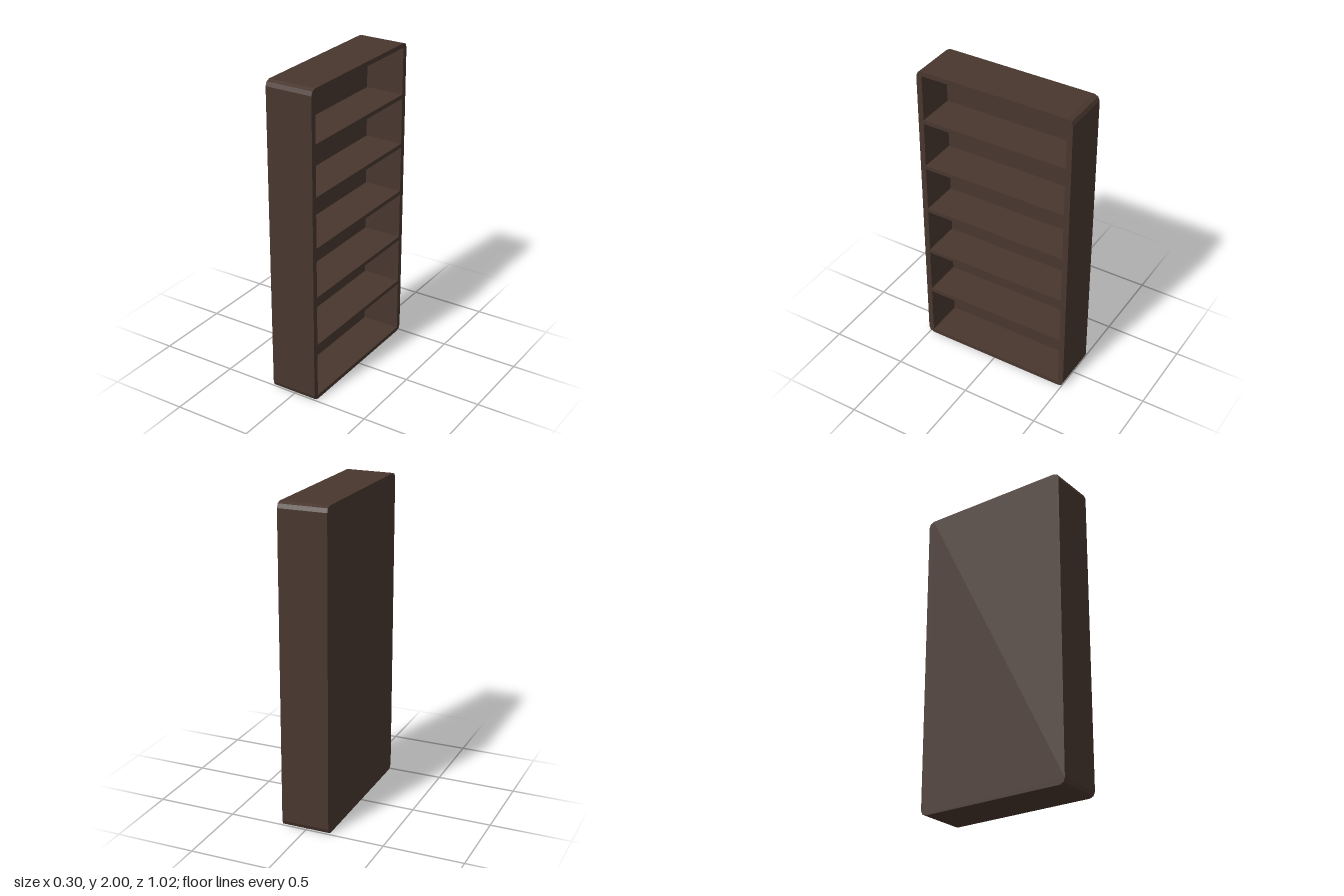
import * as THREE from 'three';

const HALF_WIDTH = 0.51, HEIGHT = 2, CORNER = 0.035;
const BACK_X = -0.152, PANEL_X = -0.1, FRONT_X = 0.152;

// Outline of the case with softly rounded corners (two facets each)
function caseOutline() {
  const w = HALF_WIDTH, h = HEIGHT, r = CORNER;
  const s = new THREE.Shape();
  s.moveTo(-w + r, 0);
  s.lineTo(w - r, 0);
  s.absarc(w - r, r, r, -Math.PI / 2, 0, false);
  s.lineTo(w, h - r);
  s.absarc(w - r, h - r, r, 0, Math.PI / 2, false);
  s.lineTo(-w + r, h);
  s.absarc(-w + r, h - r, r, Math.PI / 2, Math.PI, false);
  s.lineTo(-w, r);
  s.absarc(-w + r, r, r, Math.PI, Math.PI * 1.5, false);
  return s;
}

// Extrudes a shape along x, from x0 to x1
function extrudeAlongX(shape, x0, x1) {
  const g = new THREE.ExtrudeGeometry(shape, { depth: x1 - x0, bevelEnabled: false, curveSegments: 1 });
  g.rotateY(Math.PI / 2);
  g.translate(x0, 0, 0);
  return g;
}

export function createModel() {
  const group = new THREE.Group();
  group.name = 'bookcase';
  const darkWood = new THREE.MeshStandardMaterial({ color: 0x48362e });
  darkWood.name = 'darkWood';

  const add = (name, geometry) => {
    const mesh = new THREE.Mesh(geometry, darkWood);
    mesh.name = name;
    group.add(mesh);
  };

  // Case and shelves in one piece, with six open compartments
  const frame = caseOutline();
  const inner = 0.474, pitch = 0.3228, opening = 0.297;
  for (let i = 0; i < 6; i++) {
    const top = 1.971 - (5 - i) * pitch;
    const bottom = i === 0 ? 0.026 : top - opening;
    const hole = new THREE.Path();
    hole.moveTo(-inner, bottom);
    hole.lineTo(-inner, top);
    hole.lineTo(inner, top);
    hole.lineTo(inner, bottom);
    hole.closePath();
    frame.holes.push(hole);
  }
  add('caseAndShelves', extrudeAlongX(frame, PANEL_X, FRONT_X));

  // Solid back panel
  add('backPanel', extrudeAlongX(caseOutline(), BACK_X, PANEL_X));

  return group;
}
